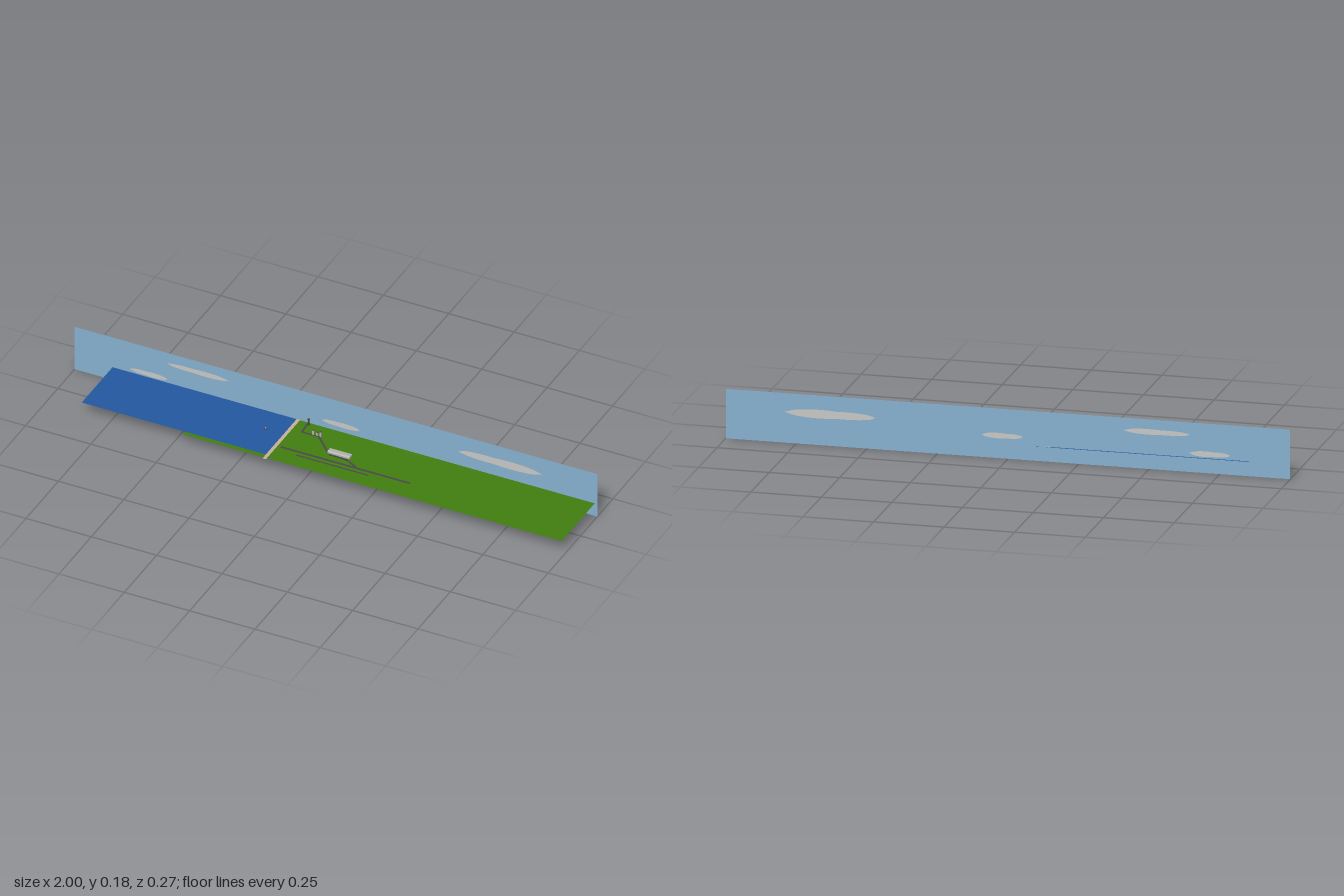
import * as THREE from 'three';

const mat = (name, color, side = THREE.FrontSide) => {
  const m = new THREE.MeshStandardMaterial({ color, side });
  m.name = name;
  return m;
};

export function createModel() {
  const group = new THREE.Group();
  const sky = mat('sky blue', 0x87b0d0, THREE.DoubleSide);
  const sea = mat('sea blue', 0x2359a2, THREE.DoubleSide);
  const grass = mat('grass green', 0x427f0f, THREE.DoubleSide);
  const shallow = mat('light green', 0x62ab1c);
  const sand = mat('sand', 0xc9b39a, THREE.DoubleSide);
  const cloud = mat('cloud grey', 0xc8c8c6, THREE.DoubleSide);
  const asphalt = mat('asphalt', 0x4a4a4a, THREE.DoubleSide);
  const concrete = mat('concrete', 0xb4b4ae);
  const dark = mat('dark metal', 0x4c4640);
  const G = 0.053; // ground level

  const add = (name, geo, material, x, y, z) => {
    const m = new THREE.Mesh(geo, material);
    m.name = name;
    m.position.set(x, y, z);
    group.add(m);
    return m;
  };
  const box = (name, w, h, d, material, x, y, z) =>
    add(name, new THREE.BoxGeometry(w, h, d), material, x, y + h / 2, z);
  // Horizontal sheet between two corners
  const sheet = (name, x0, x1, z0, z1, y, material) =>
    add(name, new THREE.PlaneGeometry(x1 - x0, z1 - z0).rotateX(-Math.PI / 2),
      material, (x0 + x1) / 2, y, (z0 + z1) / 2);

  // Backdrop and land
  add('skyBackdrop', new THREE.PlaneGeometry(2, 0.177), sky, 0, 0.0885, -0.13);
  sheet('land', -0.46, 0.99, -0.13, 0.125, G - 0.001, grass);
  sheet('sea', -0.855, -0.14, -0.137, 0.108, G, sea);
  sheet('beach', -0.15, -0.137, -0.137, 0.135, G + 0.0008, sand);

  // Shallow bay floor on the underside of the land
  add('bayFloor', new THREE.CircleGeometry(1, 32).scale(0.13, 0.04, 1).rotateX(Math.PI / 2),
    shallow, -0.32, G - 0.0018, -0.025);

  // Clouds: three overlapping flat ellipses on each side of the backdrop
  [[-0.715, 0.068, 0.145, 0.02], [-0.527, 0.133, 0.235, 0.02],
    [0.02, 0.081, 0.145, 0.02], [0.63, 0.111, 0.32, 0.031]].forEach(([x, y, w, h]) => {
    for (const side of [1, -1]) {
      [[0, 1, 0.62], [-0.16, 0.66, 0.86], [0.12, 0.7, 1]].forEach(([dx, sw, sh], i) => {
        const ellipse = new THREE.CircleGeometry(0.5, 24).scale(w * sw, h * sh, 1);
        add('cloud', ellipse, cloud, x + dx * w, y, -0.13 + side * (0.0012 + i * 0.0003));
      });
    }
  });

  // Runways
  sheet('runway', -0.125, 0.37, 0.04, 0.05, G + 0.0005, asphalt);
  sheet('taxiway', -0.055, 0.22, 0.062, 0.069, G + 0.0005, asphalt);

  // Access road made of straight strips
  const road = [[-0.105, -0.137], [-0.1, -0.068], [-0.035, -0.068], [0.04, 0.008], [0.12, 0.018], [0.16, 0.04]];
  road.slice(1).forEach(([x1, z1], i) => {
    const [x0, z0] = road[i];
    const dx = x1 - x0, dz = z1 - z0;
    const strip = new THREE.PlaneGeometry(Math.hypot(dx, dz) + 0.004, 0.008).rotateX(-Math.PI / 2);
    add('road', strip, asphalt, (x0 + x1) / 2, G + 0.0004, (z0 + z1) / 2)
      .rotation.y = -Math.atan2(dz, dx);
  });

  // Terminal hall with a sloping front
  const profile = new THREE.Shape([[-0.013, 0], [0.008, 0], [0.008, 0.006], [0.003, 0.009], [-0.013, 0.009]]
    .map(([z, y]) => new THREE.Vector2(-z, y)));
  const hall = new THREE.ExtrudeGeometry(profile, { depth: 0.085, bevelEnabled: false });
  add('terminal', hall.rotateY(Math.PI / 2), concrete, 0.035, G, 0);
  for (let i = 0; i < 5; i++)
    box('parkedVehicle', 0.008, 0.003, 0.005, dark, 0.05 + i * 0.015, G, 0.015);

  // Control tower
  add('towerShaft', new THREE.CylinderGeometry(0.002, 0.002, 0.022, 10), dark, -0.097, G + 0.011, -0.115);
  add('towerCabin', new THREE.CylinderGeometry(0.005, 0.0035, 0.005, 10), dark, -0.097, G + 0.0235, -0.115);
  add('towerRoof', new THREE.ConeGeometry(0.004, 0.002, 10), dark, -0.097, G + 0.027, -0.115);

  // Slim town blocks
  [[-0.058, 0.018], [-0.043, 0.014], [-0.03, 0.019]].forEach(([x, h]) => {
    box('townBlock', 0.006, h, 0.005, concrete, x, G, -0.072);
    box('townRoof', 0.007, 0.001, 0.006, dark, x, G + h, -0.072);
  });

  // Small ship
  box('shipHull', 0.012, 0.002, 0.008, dark, -0.22, G, -0.03);
  box('shipCabin', 0.004, 0.004, 0.003, concrete, -0.22, G + 0.002, -0.03);
  return group;
}
